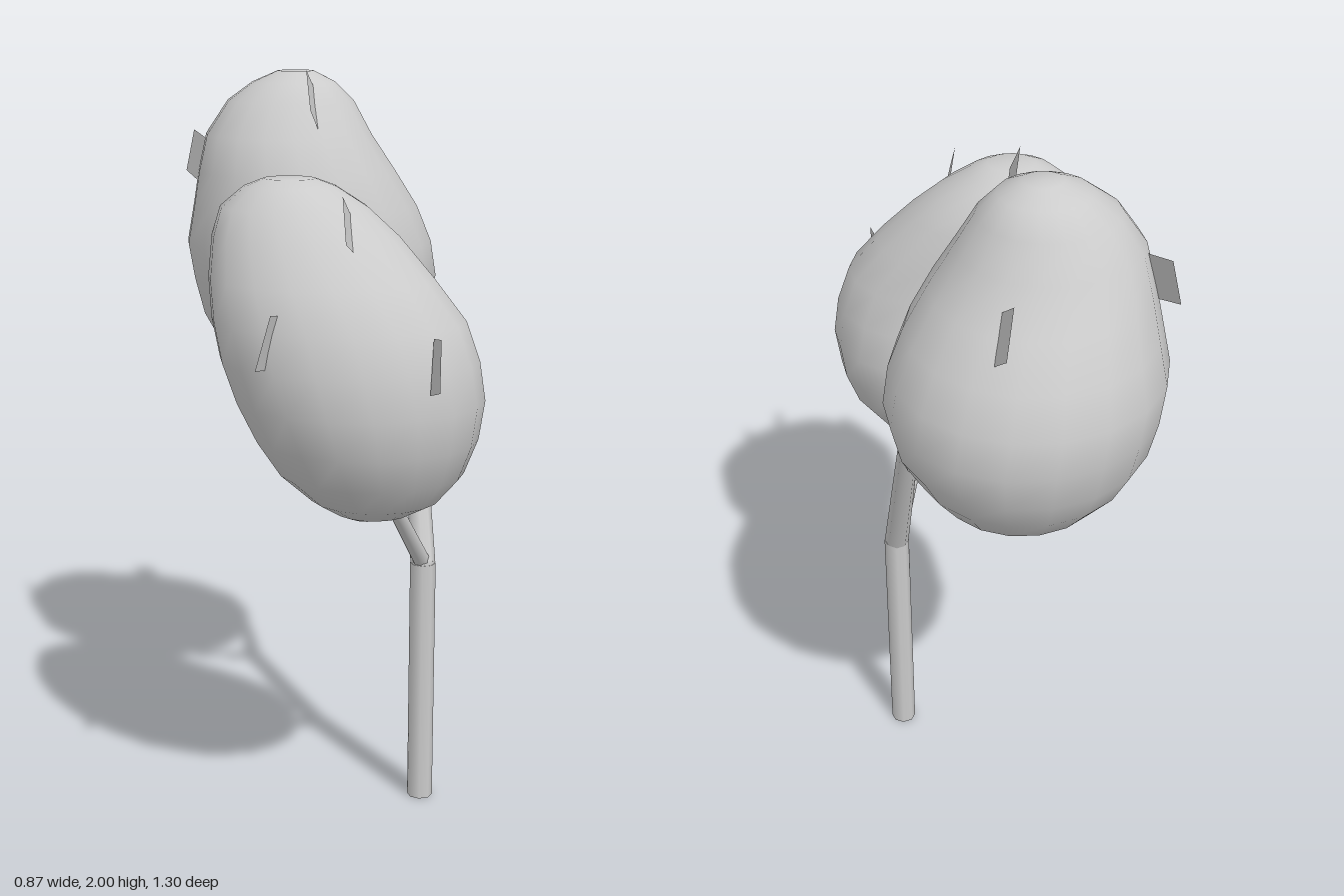
import * as THREE from 'three';

const V = (p) => new THREE.Vector3(...p);

export function createModel() {
  const tree = new THREE.Group();
  tree.name = 'tree';
  const solid = new THREE.MeshStandardMaterial({ color: 0xcccccc });
  const thin = new THREE.MeshStandardMaterial({ color: 0xcccccc, side: THREE.DoubleSide });

  const add = (name, geometry, material = solid) => {
    const mesh = new THREE.Mesh(geometry, material);
    mesh.name = name;
    tree.add(mesh);
    return mesh;
  };

  // Tapered limb between two points
  const limb = (name, from, to, r0, r1) => {
    const a = V(from), b = V(to), d = b.clone().sub(a);
    const mesh = add(name, new THREE.CylinderGeometry(r1, r0, d.length(), 8));
    mesh.position.copy(a).add(b).multiplyScalar(0.5);
    mesh.quaternion.setFromUnitVectors(new THREE.Vector3(0, 1, 0), d.normalize());
  };
  const joint = (p, r) => add('branchJoint', new THREE.SphereGeometry(r, 8, 6)).position.set(...p);

  // Rounded crown lofted through ellipses: [y, xMin, xMax, zMin, zMax]
  const crown = (name, rows) => {
    const n = 18, pos = [], idx = [];
    for (const [y, x0, x1, z0, z1] of rows) {
      for (let j = 0; j < n; j++) {
        const t = (j / n) * Math.PI * 2;
        pos.push((x0 + x1) / 2 + Math.cos(t) * (x1 - x0) / 2, y, (z0 + z1) / 2 + Math.sin(t) * (z1 - z0) / 2);
      }
    }
    const last = (rows.length - 1) * n, bottom = rows.length * n, top = bottom + 1;
    for (const [y, x0, x1, z0, z1] of [rows[0], rows[rows.length - 1]]) pos.push((x0 + x1) / 2, y, (z0 + z1) / 2);
    for (let j = 0; j < n; j++) {
      const k = (j + 1) % n;
      idx.push(bottom, j, k, last + j, top, last + k);
      for (let i = 0; i < last; i += n) idx.push(i + j, i + n + j, i + k, i + k, i + n + j, i + n + k);
    }
    const g = new THREE.BufferGeometry();
    g.setAttribute('position', new THREE.Float32BufferAttribute(pos, 3));
    g.setIndex(idx);
    g.computeVertexNormals();
    add(name, g);
  };

  // Flat four-cornered leaf
  const leaf = (...corners) => {
    const g = new THREE.BufferGeometry();
    g.setAttribute('position', new THREE.Float32BufferAttribute(corners.flat(), 3));
    g.setIndex([0, 1, 2, 0, 2, 3]);
    g.computeVertexNormals();
    add('leaf', g, thin);
  };

  // Trunk and branches
  const fork = [0.27, 0.69, 0.08], frontElbow = [0.2, 0.9, 0.26], backFork = [0.225, 1.15, -0.13];
  limb('trunk', [0.27, 0, 0.08], fork, 0.035, 0.035);
  joint(fork, 0.034);
  limb('frontBranch', fork, frontElbow, 0.024, 0.02);
  joint(frontElbow, 0.02);
  limb('frontBranchTip', frontElbow, [0.17, 1.02, 0.3], 0.02, 0.015);
  limb('backBranch', fork, backFork, 0.034, 0.028);
  joint(backFork, 0.028);
  limb('backBranchTip', backFork, [0.212, 1.29, -0.4], 0.028, 0.012);
  limb('sideTwig', backFork, [0.09, 1.25, -0.05], 0.022, 0.013);

  // Foliage masses
  crown('frontCrown', [
    [0.9, 0.09, 0.17, 0.29, 0.39],
    [0.92, 0.05, 0.25, 0.25, 0.45],
    [0.96, -0.01, 0.32, 0.21, 0.52],
    [1.03, -0.09, 0.38, 0.16, 0.58],
    [1.12, -0.15, 0.415, 0.12, 0.625],
    [1.22, -0.2, 0.43, 0.105, 0.645],
    [1.32, -0.235, 0.415, 0.12, 0.64],
    [1.42, -0.255, 0.38, 0.135, 0.62],
    [1.52, -0.265, 0.3, 0.135, 0.575],
    [1.62, -0.26, 0.21, 0.135, 0.51],
    [1.69, -0.24, 0.13, 0.155, 0.46],
    [1.74, -0.18, 0.05, 0.2, 0.41],
    [1.76, -0.13, 0, 0.26, 0.37],
  ]);
  crown('backCrown', [
    [1.11, -0.1, 0, -0.36, -0.24],
    [1.13, -0.18, 0.07, -0.45, -0.16],
    [1.17, -0.27, 0.15, -0.53, -0.09],
    [1.24, -0.34, 0.21, -0.585, -0.02],
    [1.32, -0.385, 0.255, -0.625, 0.015],
    [1.42, -0.41, 0.28, -0.65, 0.045],
    [1.52, -0.425, 0.265, -0.64, 0.055],
    [1.62, -0.405, 0.225, -0.6, 0.04],
    [1.72, -0.385, 0.165, -0.53, 0.02],
    [1.82, -0.36, 0.1, -0.45, -0.03],
    [1.91, -0.3, 0.05, -0.41, -0.09],
    [1.96, -0.23, 0, -0.35, -0.14],
    [1.99, -0.16, -0.06, -0.29, -0.2],
  ]);

  // Loose leaves on the front crown
  leaf([0.095, 1.63, 0.55], [0.08, 1.735, 0.47], [0.095, 1.68, 0.4], [0.11, 1.6, 0.48]);
  leaf([-0.075, 1.475, 0.635], [-0.06, 1.46, 0.56], [-0.09, 1.33, 0.57], [-0.11, 1.345, 0.655]);
  leaf([0.325, 1.42, 0.61], [0.305, 1.41, 0.55], [0.3, 1.28, 0.59], [0.325, 1.3, 0.65]);
  // Loose leaves on the back crown
  leaf([-0.065, 2, -0.09], [-0.05, 1.945, -0.165], [-0.03, 1.84, -0.075], [-0.045, 1.9, 0]);
  leaf([-0.03, 1.82, -0.53], [-0.005, 1.765, -0.46], [0.015, 1.67, -0.54], [-0.01, 1.725, -0.61]);
  leaf([-0.41, 1.82, -0.335], [-0.36, 1.8, -0.26], [-0.385, 1.68, -0.265], [-0.435, 1.705, -0.34]);

  return tree;
}
